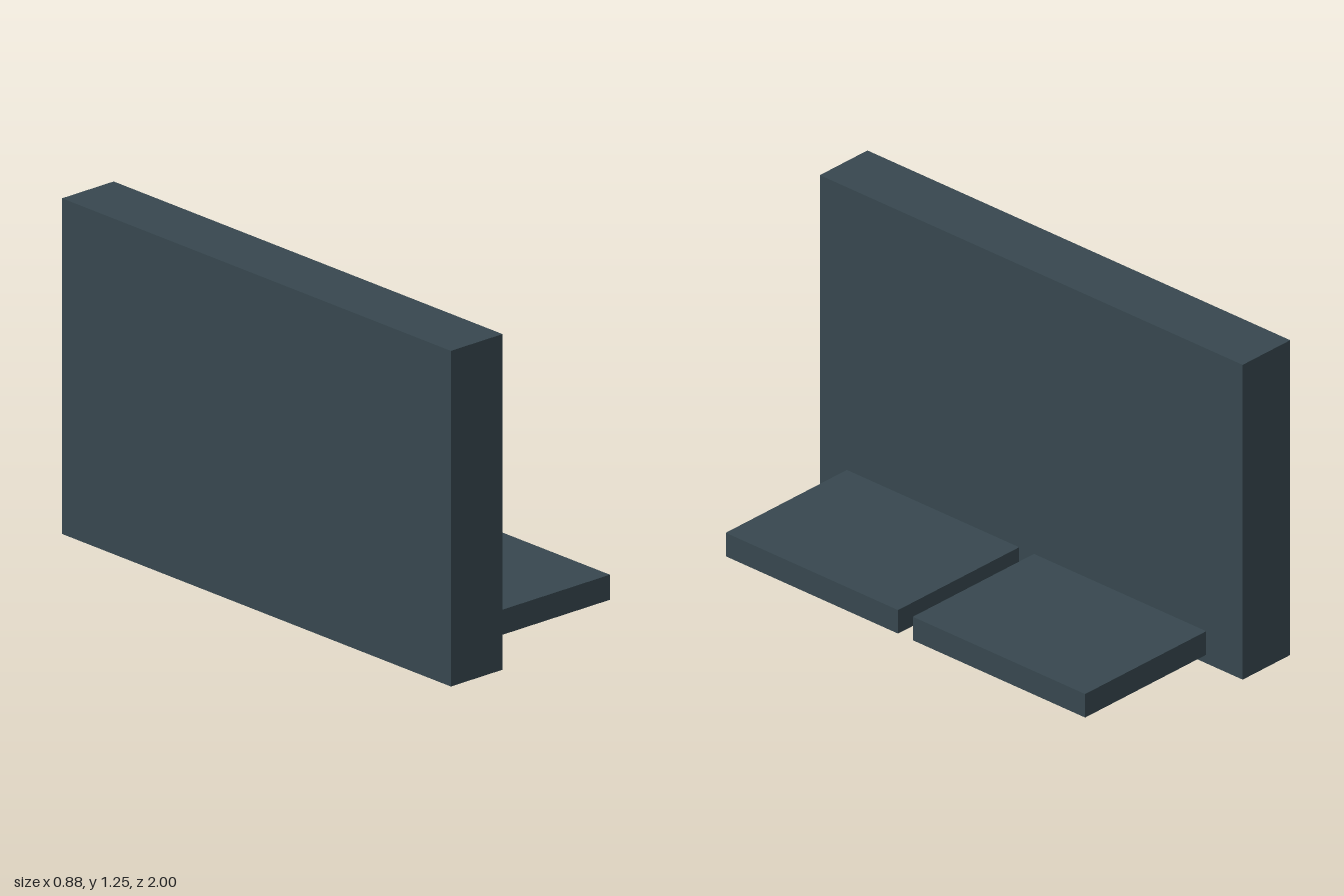
import * as THREE from 'three';

export function createModel() {
  const model = new THREE.Group();
  model.name = 'panelWithSlabs';

  const slate = new THREE.MeshStandardMaterial({ color: 0x37474f });
  slate.name = 'darkSlate';

  // Box given by its lower and upper corners
  function addBox(name, min, max) {
    const size = max.map((v, i) => v - min[i]);
    const mesh = new THREE.Mesh(new THREE.BoxGeometry(...size), slate);
    mesh.name = name;
    mesh.position.set(...max.map((v, i) => (v + min[i]) / 2));
    model.add(mesh);
  }

  // Tall upright panel
  addBox('uprightPanel', [-0.441, 0, -1], [-0.199, 1.245, 1]);

  // Two low slabs floating beside the panel, mirrored front to back
  addBox('frontSlab', [-0.175, 0.052, 0.035], [0.441, 0.145, 0.85]);
  addBox('backSlab', [-0.175, 0.052, -0.85], [0.441, 0.145, -0.035]);

  return model;
}
